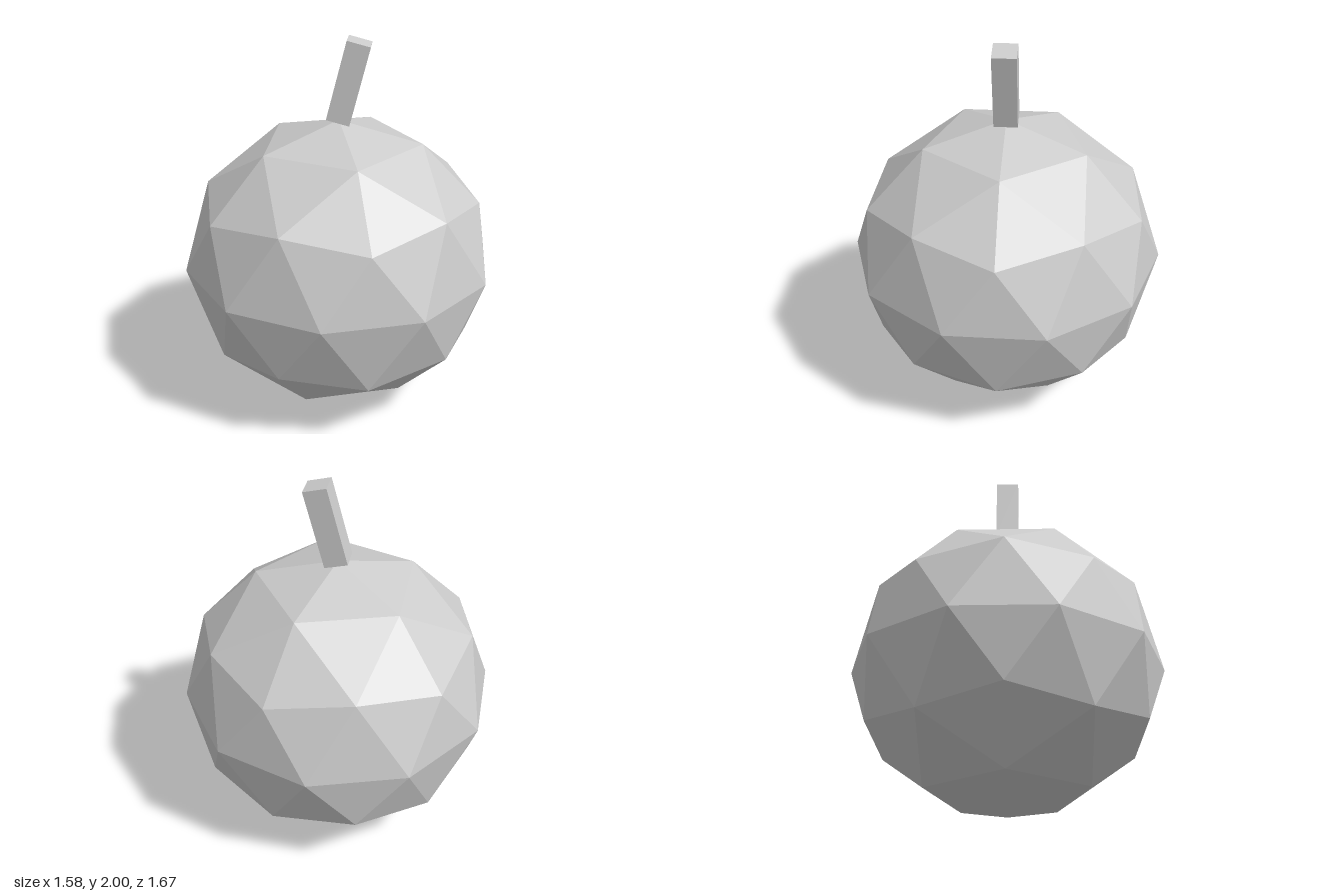
import * as THREE from 'three';

export function createModel() {
  const model = new THREE.Group();
  model.name = 'fruit';
  const grey = new THREE.MeshStandardMaterial({ color: 0xcccccc });
  grey.name = 'light grey';
  grey.flatShading = true;

  // Faceted body: icosphere with a corner at each pole, slightly squashed
  const halfHeight = 0.785, radius = 0.833;
  const bodyGeometry = new THREE.IcosahedronGeometry(1, 1);
  bodyGeometry.rotateZ(-Math.atan(2 / (1 + Math.sqrt(5))));
  bodyGeometry.scale(radius, halfHeight, radius);
  bodyGeometry.translate(0, halfHeight, 0);
  const body = new THREE.Mesh(bodyGeometry, grey);
  body.name = 'body';
  model.add(body);

  // Square stem leaning towards +x
  const stem = new THREE.Mesh(new THREE.BoxGeometry(0.124, 0.427, 0.124), grey);
  stem.name = 'stem';
  stem.position.set(0.052, 1.778, 0);
  stem.rotation.z = -0.25;
  model.add(stem);

  return model;
}
